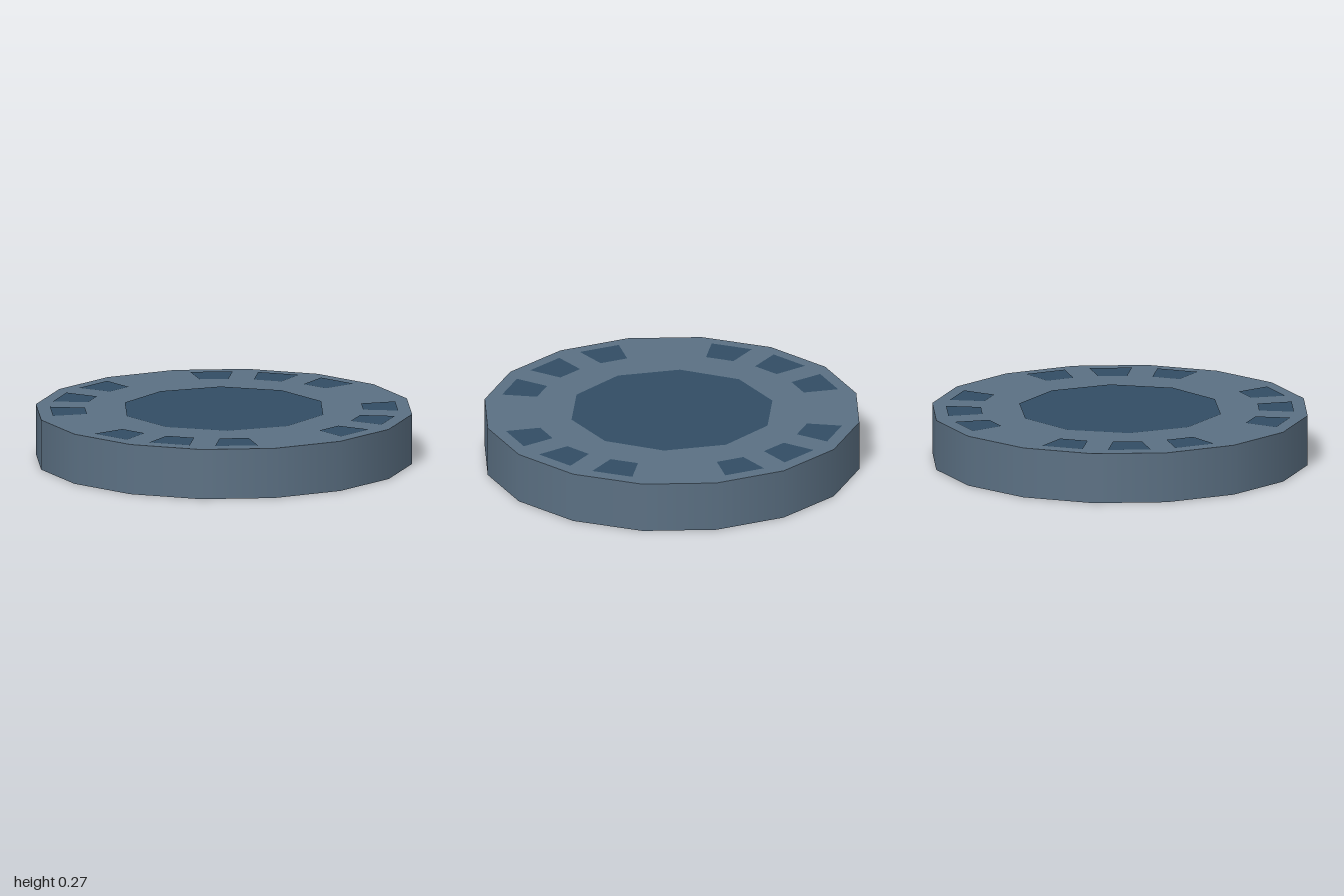
import * as THREE from 'three';

const HEIGHT = 0.268;
const LIFT = 0.003; // inlays sit just above the deck

export function createModel() {
  const model = new THREE.Group();
  model.name = 'roundPlatform';

  const slate = new THREE.MeshStandardMaterial({ color: 0x5b7083, side: THREE.DoubleSide });
  slate.name = 'slateBlue';
  const navy = new THREE.MeshStandardMaterial({ color: 0x324d64 });
  navy.name = 'darkNavy';

  const add = (name, geometry, material, y, parent = model) => {
    const mesh = new THREE.Mesh(geometry, material);
    mesh.name = name;
    mesh.position.y = y;
    parent.add(mesh);
    return mesh;
  };

  // Sixteen-sided wall, smooth shaded and open underneath
  add('wall', new THREE.CylinderGeometry(1, 1, HEIGHT, 16, 1, true), slate, HEIGHT / 2);

  // Flat deck closing the top
  add('deck', new THREE.CircleGeometry(1, 16).rotateX(-Math.PI / 2), slate, HEIGHT);

  // Ten-sided centre inlay with a corner at the back
  const centre = new THREE.CircleGeometry(0.545, 10, Math.PI / 2).rotateX(-Math.PI / 2);
  add('centreInlay', centre, navy, HEIGHT + LIFT);

  // Tapered rim panels: three of every four deck sides, repeated per quarter
  const panelShape = new THREE.Shape([
    new THREE.Vector2(-0.077, 0.73),
    new THREE.Vector2(0.077, 0.73),
    new THREE.Vector2(0.113, 0.913),
    new THREE.Vector2(-0.113, 0.913),
  ]);
  const panel = new THREE.ShapeGeometry(panelShape).rotateX(-Math.PI / 2);
  const panels = new THREE.Group();
  panels.name = 'rimPanels';
  model.add(panels);
  for (let quarter = 0; quarter < 4; quarter++) {
    for (let i = 0; i < 3; i++) {
      const mesh = add('rimPanel', panel, navy, HEIGHT + LIFT, panels);
      mesh.rotation.y = quarter * Math.PI / 2 + (i + 0.5) * Math.PI / 8;
    }
  }

  return model;
}
